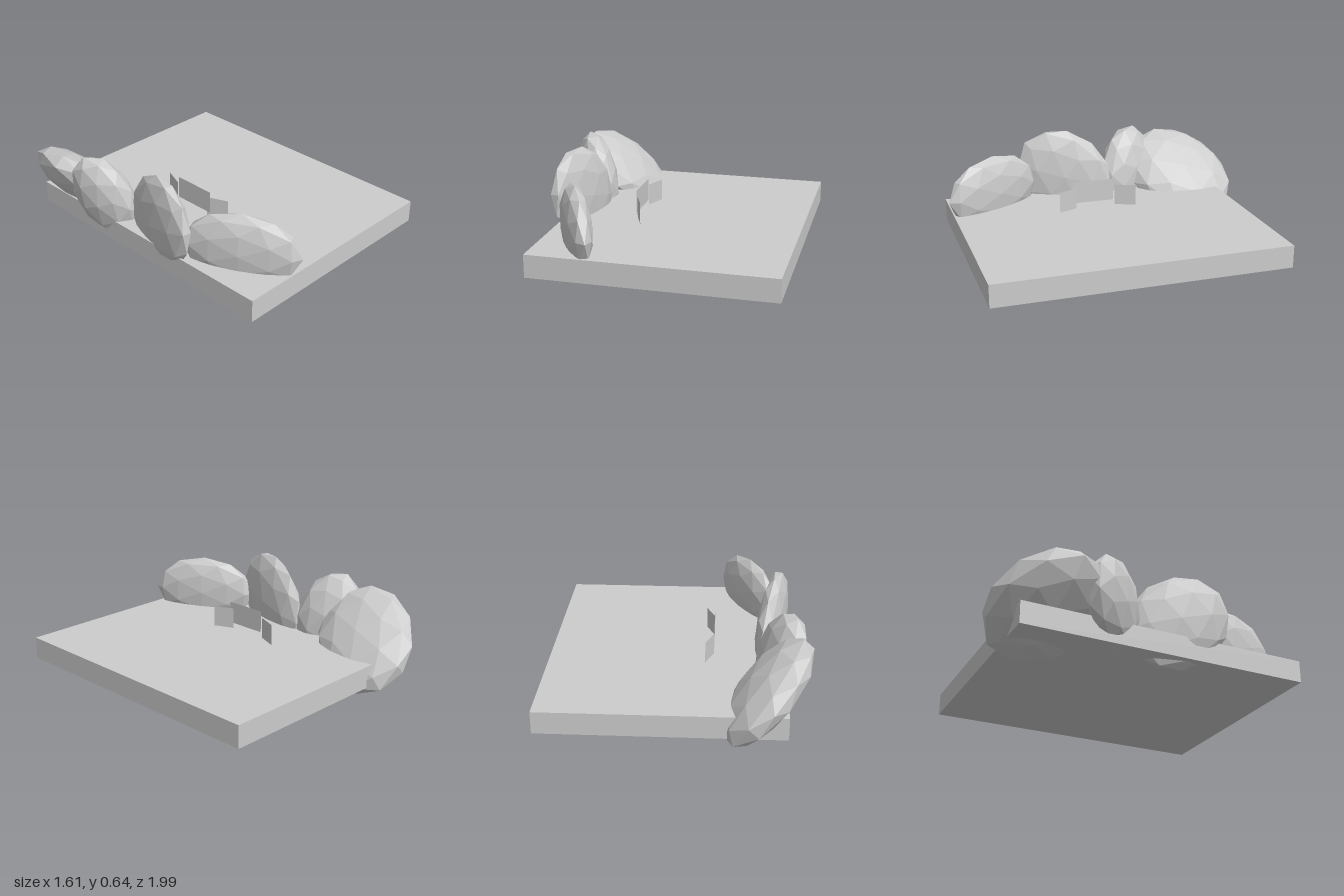
import * as THREE from 'three';

const stone = new THREE.MeshStandardMaterial({ color: 0xcccccc, flatShading: true });
stone.name = 'pale grey';
const sheet = new THREE.MeshStandardMaterial({ color: 0xcccccc, side: THREE.DoubleSide });
sheet.name = 'pale grey sheet';

// Flattened faceted boulder: thin along `normal`, longest along `along`.
function boulder(name, center, normal, along, [thin, long, wide]) {
  const n = new THREE.Vector3(...normal).normalize();
  const u = new THREE.Vector3(...along);
  u.addScaledVector(n, -u.dot(n)).normalize();
  const v = new THREE.Vector3().crossVectors(n, u);
  const geometry = new THREE.IcosahedronGeometry(1, 1);
  geometry.scale(thin * 1.02, long * 1.02, wide * 1.02);
  geometry.applyMatrix4(new THREE.Matrix4().makeBasis(n, u, v));
  const mesh = new THREE.Mesh(geometry, stone);
  mesh.name = name;
  mesh.position.set(...center);
  return mesh;
}

// Upright thin panel between two floor points.
function panel(name, [x0, z0], [x1, z1], bottom, top) {
  const width = Math.hypot(x1 - x0, z1 - z0);
  const mesh = new THREE.Mesh(new THREE.PlaneGeometry(width, top - bottom), sheet);
  mesh.name = name;
  mesh.position.set((x0 + x1) / 2, (bottom + top) / 2, (z0 + z1) / 2);
  mesh.rotation.y = Math.atan2(-(z1 - z0), x1 - x0);
  return mesh;
}

export function createModel() {
  const model = new THREE.Group();
  model.name = 'rockyPlatform';

  // Ground slab
  const slab = new THREE.Mesh(new THREE.BoxGeometry(1.465, 0.14, 1.825), stone);
  slab.name = 'slab';
  slab.position.set(0.068, 0.15, 0.058);
  model.add(slab);

  // Row of boulders along the right edge, back to front
  const boulders = new THREE.Group();
  boulders.name = 'boulders';
  boulders.add(
    boulder('backBoulder', [-0.542, 0.282, -0.65], [0.73, 0.68, 0], [-0.49, 0.52, 0.7], [0.13, 0.39, 0.315]),
    boulder('smallBoulder', [-0.63, 0.34, -0.285], [0.9, 0.165, -0.41], [-0.3, 0.91, -0.28], [0.115, 0.287, 0.195]),
    boulder('middleBoulder', [-0.59, 0.337, 0.165], [0.973, 0.03, 0.23], [-0.2, 0.65, 0.73], [0.082, 0.345, 0.28]),
    boulder('frontBoulder', [-0.45, 0.32, 0.685], [0.885, 0, -0.465], [0.465, 0, 0.885], [0.085, 0.35, 0.23])
  );
  model.add(boulders);

  // Three-part folding screen with its wings bent forward
  const screen = new THREE.Group();
  screen.name = 'screen';
  screen.add(
    panel('centrePanel', [-0.225, 0.21], [-0.225, -0.062], 0.255, 0.397),
    panel('frontWing', [-0.172, 0.31], [-0.225, 0.185], 0.215, 0.355),
    panel('backWing', [-0.225, -0.073], [-0.172, -0.203], 0.215, 0.355)
  );
  model.add(screen);
  return model;
}
